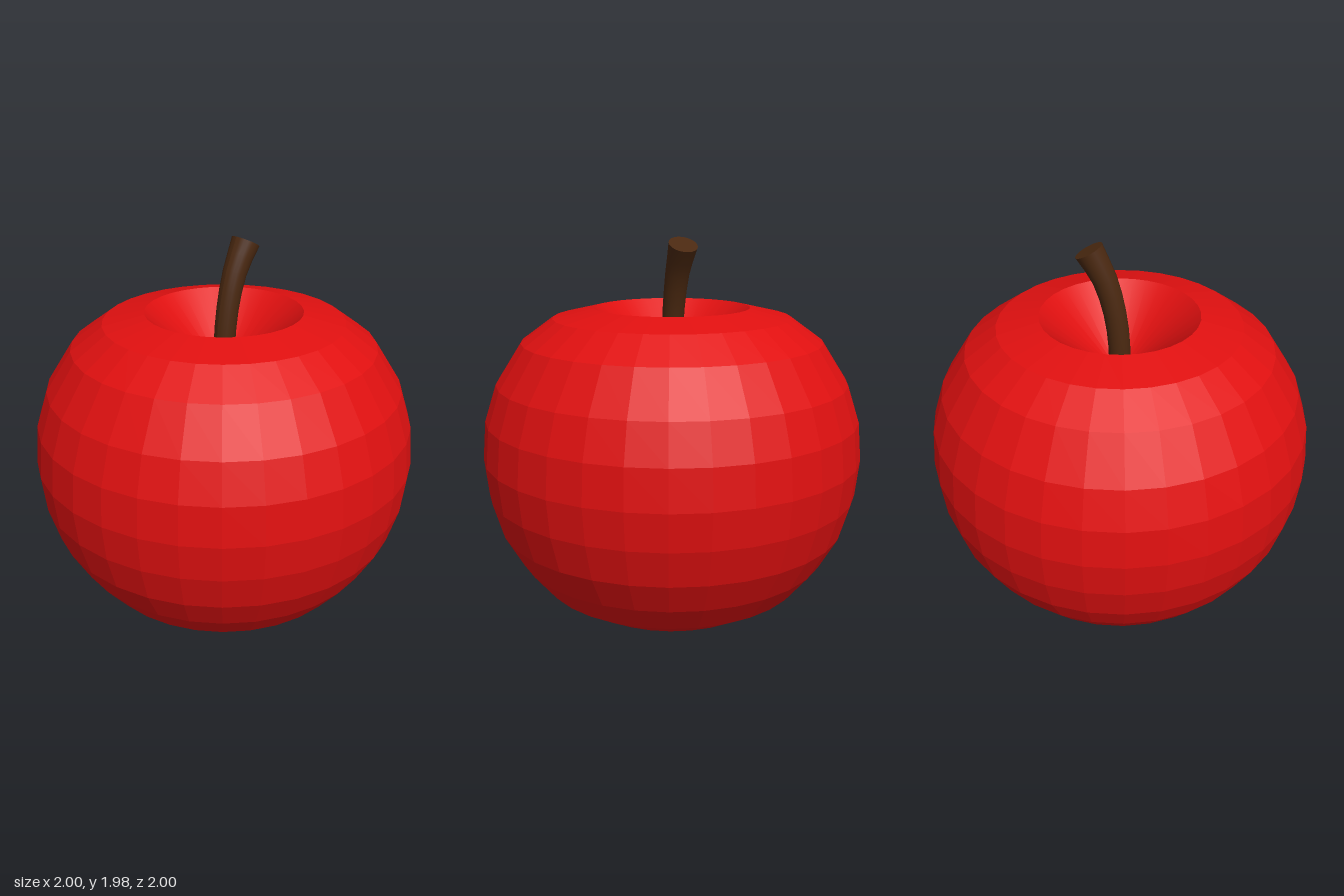
import * as THREE from 'three';

const SIDES = 32;

function lathe(name, profile, material) {
  const points = profile.map(([r, y]) => new THREE.Vector2(r, y));
  const mesh = new THREE.Mesh(new THREE.LatheGeometry(points, SIDES), material);
  mesh.name = name;
  return mesh;
}

// Upright cylinder bent along a curve in the yz plane, flaring to its tip
function bentStem() {
  const curve = new THREE.CatmullRomCurve3([
    new THREE.Vector3(0, 1.27, 0),
    new THREE.Vector3(0, 1.45, -0.003),
    new THREE.Vector3(0, 1.63, -0.025),
    new THREE.Vector3(0, 1.81, -0.075),
    new THREE.Vector3(0, 1.955, -0.152),
  ]);
  const geometry = new THREE.CylinderGeometry(1, 1, 1, 20, 8);
  const pos = geometry.attributes.position;
  const side = new THREE.Vector3(1, 0, 0);
  for (let i = 0; i < pos.count; i++) {
    const t = THREE.MathUtils.clamp(pos.getY(i) + 0.5, 0, 1);
    const radius = 0.056 + 0.018 * t ** 4;
    const tangent = curve.getTangent(t);
    const depth = new THREE.Vector3().crossVectors(side, tangent);
    const p = curve.getPoint(t)
      .addScaledVector(side, pos.getX(i) * radius)
      .addScaledVector(depth, pos.getZ(i) * radius);
    pos.setXYZ(i, p.x, p.y, p.z);
  }
  geometry.computeVertexNormals();
  return geometry;
}

export function createModel() {
  const group = new THREE.Group();
  group.name = 'apple';
  const facetedRed = new THREE.MeshStandardMaterial({ color: 0xe01010, flatShading: true, side: THREE.DoubleSide });
  const smoothRed = new THREE.MeshStandardMaterial({ color: 0xe01010, side: THREE.DoubleSide });
  const brown = new THREE.MeshStandardMaterial({ color: 0x4a2810 });

  // Faceted outer skin, bottom rim to top rim
  group.add(lathe('body', [
    [0.34, 0.005], [0.53, 0.05], [0.71, 0.16], [0.83, 0.31], [0.925, 0.48], [0.98, 0.67], [1, 0.86],
    [0.982, 1.06], [0.92, 1.25], [0.785, 1.46], [0.62, 1.58], [0.405, 1.63],
  ], facetedRed));

  // Conical hollow around the stem
  group.add(lathe('stemHollow', [[0.405, 1.63], [0, 1.28]], smoothRed));

  // Shallow hollow underneath with its small floor
  group.add(lathe('baseHollow', [[0.13, 0.09], [0.34, 0.005]], smoothRed));
  group.add(lathe('baseHollowFloor', [[0, 0.1], [0.13, 0.09]], smoothRed));

  const stem = new THREE.Mesh(bentStem(), brown);
  stem.name = 'stem';
  group.add(stem);
  return group;
}
